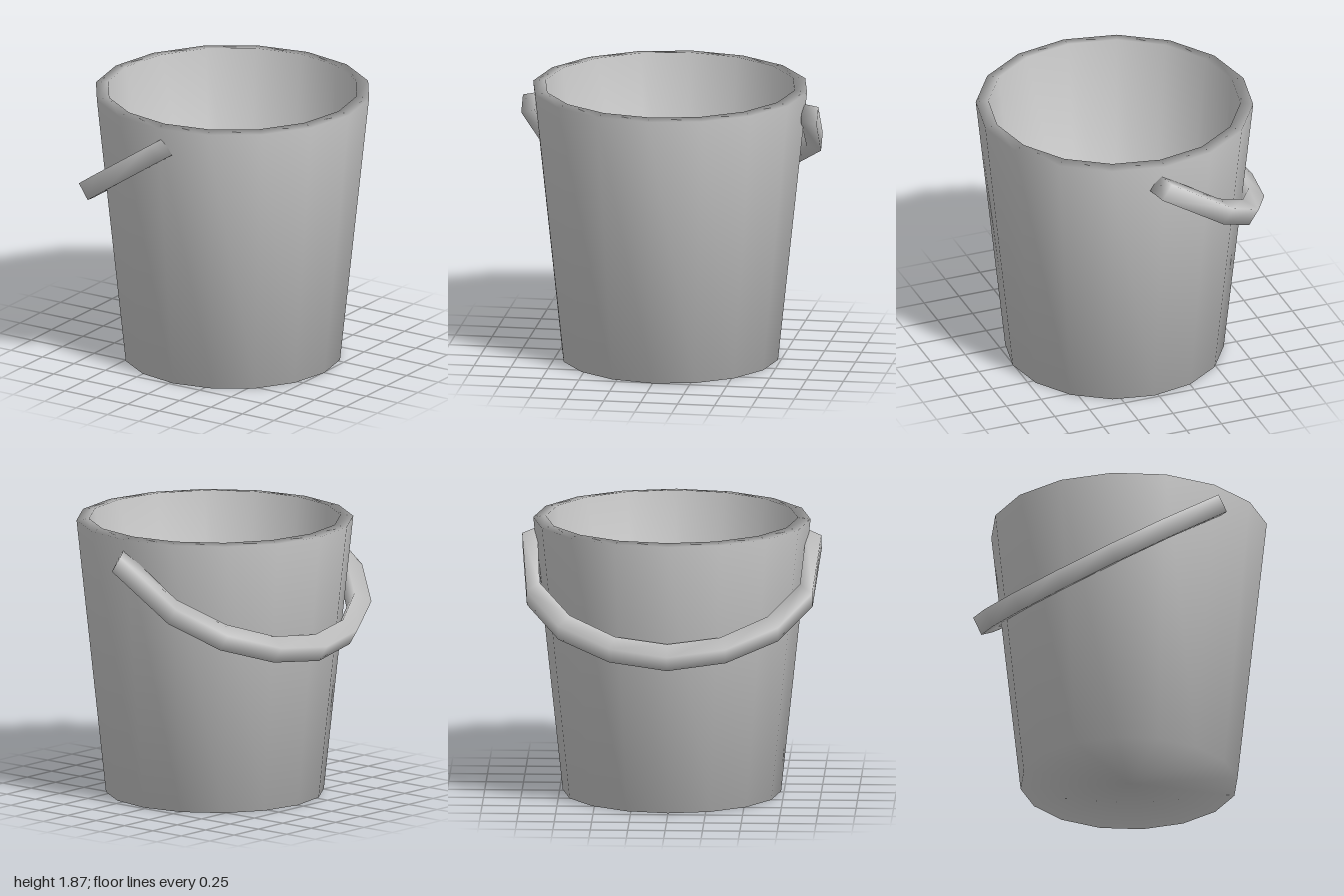
import * as THREE from 'three';

const material = () => new THREE.MeshStandardMaterial({ color: 0xcccccc });

// Tapered bucket with thick walls, 16 sides, smooth shaded
function createBucket() {
  const profile = [
    [0, 0], [0.73, 0], [0.927, 1.86], [0.842, 1.87], [0.655, 0.085], [0, 0.085],
  ].map(([r, y]) => new THREE.Vector2(r, y));
  const mesh = new THREE.Mesh(new THREE.LatheGeometry(profile, 16), material());
  mesh.position.x = 0.027;
  mesh.name = 'bucket';
  return mesh;
}

// Tilted handle: a four-cornered section swept around half the bucket
function createHandle() {
  // Half of the bow from end to middle: outer x, outer z, inner x, inner z
  const half = [
    [0.04, 1.0, 0.09, 0.9],
    [-0.415, 0.955, -0.345, 0.87],
    [-0.685, 0.735, -0.6, 0.66],
    [-0.86, 0.39, -0.765, 0.35],
    [-0.925, 0, -0.82, 0],
  ];
  const mirrored = half.slice(0, -1).reverse().map(([ox, oz, ix, iz]) => [ox, -oz, ix, -iz]);
  const rings = [...half, ...mirrored];

  // The bow lies in a sloping plane; dx, dy is half the section across it
  const slope = 0.66, dx = 0.035, dy = 0.053;
  const height = (x) => 1.065 + (x + 0.925) * slope;
  const positions = [];
  for (const [ox, oz, ix, iz] of rings) {
    positions.push(
      ox - dx, height(ox) + dy, oz,
      ox + dx, height(ox) - dy, oz,
      ix + dx, height(ix) - dy, iz,
      ix - dx, height(ix) + dy, iz,
    );
  }

  const index = [];
  const quad = (a, b, c, d) => index.push(a, b, c, a, c, d);
  for (let i = 0; i < rings.length - 1; i++) {
    for (let j = 0; j < 4; j++) {
      const a = i * 4 + j, b = i * 4 + (j + 1) % 4;
      quad(a, a + 4, b + 4, b);
    }
  }
  // End caps
  const last = (rings.length - 1) * 4;
  quad(0, 1, 2, 3);
  quad(last + 3, last + 2, last + 1, last);

  const geometry = new THREE.BufferGeometry();
  geometry.setAttribute('position', new THREE.Float32BufferAttribute(positions, 3));
  geometry.setIndex(index);
  geometry.computeVertexNormals();
  const mesh = new THREE.Mesh(geometry, material());
  mesh.name = 'handle';
  return mesh;
}

export function createModel() {
  const group = new THREE.Group();
  group.name = 'bucketWithHandle';
  group.add(createBucket(), createHandle());
  return group;
}
